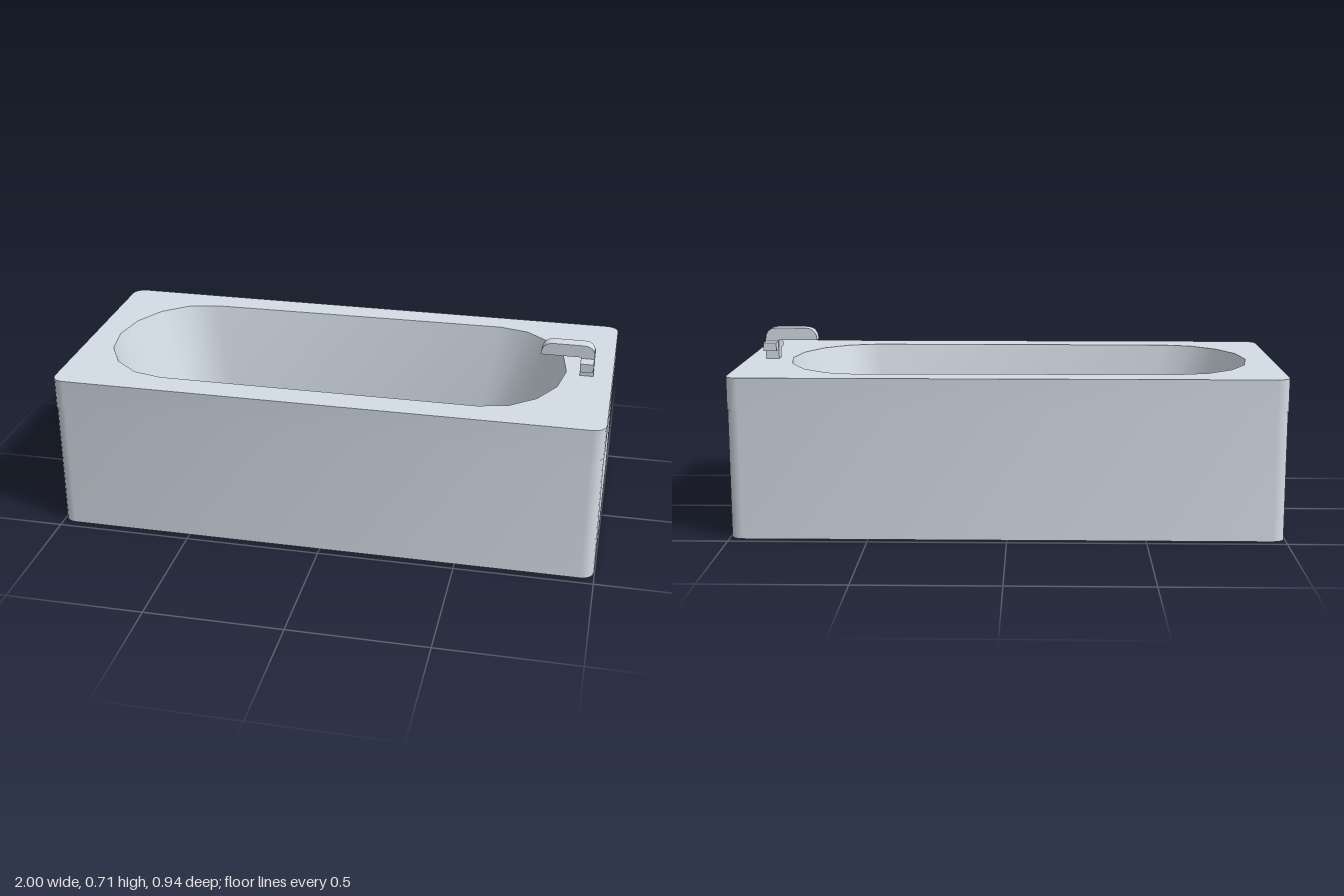
import * as THREE from 'three';
import { toCreasedNormals } from 'three/addons/utils/BufferGeometryUtils.js';

const HEIGHT = 0.588, FLOOR = 0.16;

// Rounded rectangle outline, counter-clockwise
function slabOutline(hx, hz, r, seg = 4) {
  const pts = [];
  [[1, 1], [-1, 1], [-1, -1], [1, -1]].forEach(([sx, sz], k) => {
    for (let i = 0; i <= seg; i++) {
      const a = (k + i / seg) * Math.PI / 2;
      pts.push(new THREE.Vector2(sx * (hx - r) + r * Math.cos(a), sz * (hz - r) + r * Math.sin(a)));
    }
  });
  return pts;
}

// Long oval: straight sides with half-ellipse ends, counter-clockwise
function ovalOutline(x0, x1, hz, end, seg = 8) {
  const pts = [];
  for (const side of [0, 1]) {
    const cx = side ? x0 + end : x1 - end;
    for (let i = 0; i <= seg; i++) {
      const a = -Math.PI / 2 + side * Math.PI + Math.PI * i / seg;
      pts.push(new THREE.Vector2(cx + end * Math.cos(a), hz * Math.sin(a)));
    }
  }
  return pts;
}

// Wall joining a stack of outlines, each given as [points, y]
function loft(rings) {
  const pos = [], idx = [], n = rings[0][0].length;
  for (const [pts, y] of rings) for (const p of pts) pos.push(p.x, y, -p.y);
  for (let r = 0; r < rings.length - 1; r++) {
    for (let i = 0; i < n; i++) {
      const j = (i + 1) % n, a = r * n + i, b = r * n + j;
      idx.push(a, b, b + n, a, b + n, a + n);
    }
  }
  const g = new THREE.BufferGeometry();
  g.setAttribute('position', new THREE.Float32BufferAttribute(pos, 3));
  g.setIndex(idx);
  return toCreasedNormals(g, 0.7);
}

// Flat horizontal face
function flat(points, y, hole, down = false) {
  const s = new THREE.Shape(points);
  if (hole) s.holes.push(new THREE.Path(hole));
  return new THREE.ShapeGeometry(s).rotateX(down ? Math.PI / 2 : -Math.PI / 2).translate(0, y, 0);
}

export function createModel() {
  const root = new THREE.Group();
  root.name = 'bathtub';
  const enamel = new THREE.MeshStandardMaterial({ color: 0xd4dde7 });
  enamel.name = 'pale blue-grey enamel';
  const add = (name, geometry, parent = root) => {
    const m = new THREE.Mesh(geometry, enamel);
    m.name = name;
    parent.add(m);
  };

  // Outer casing with a barely proud rim band
  const rim = slabOutline(1, 0.47, 0.045);
  const body = slabOutline(0.998, 0.468, 0.045);
  add('casing', loft([[body, 0], [body, 0.47], [rim, 0.47], [rim, HEIGHT]]));
  add('underside', flat(body, 0, null, true));

  // Top deck and sunken basin; the opening widens a little at the back by the tap
  const opening = ovalOutline(-0.9, 0.83, 0.36, 0.285);
  for (const p of opening) if (p.x > 0 && p.y > 0) p.y *= 1.04;
  const base = ovalOutline(-0.77, 0.7, 0.31, 0.235);
  add('deck', flat(rim, HEIGHT, opening));
  add('basinWall', loft([[opening, HEIGHT], [base, FLOOR]]));
  add('basinFloor', flat(base, FLOOR));
  add('drain', new THREE.CylinderGeometry(0.05, 0.05, 0.004, 16).translate(-0.46, FLOOR, 0));

  // Tap: post, cross handle and curved spout
  const tap = new THREE.Group();
  tap.name = 'tap';
  root.add(tap);
  add('tapPost', new THREE.BoxGeometry(0.05, 0.08, 0.05).translate(0.905, 0.626, 0), tap);
  add('tapHandle', new THREE.BoxGeometry(0.048, 0.032, 0.152).translate(0.905, 0.64, 0), tap);
  const s = new THREE.Shape();
  s.moveTo(0.733, 0.66);
  s.lineTo(0.93, 0.66);
  s.quadraticCurveTo(0.93, 0.706, 0.89, 0.706);
  s.lineTo(0.78, 0.706);
  s.quadraticCurveTo(0.735, 0.706, 0.733, 0.66);
  const spout = new THREE.ExtrudeGeometry(s, { depth: 0.05, bevelEnabled: false, curveSegments: 4 });
  add('tapSpout', toCreasedNormals(spout.translate(0, 0, -0.025), 0.6), tap);

  return root;
}
